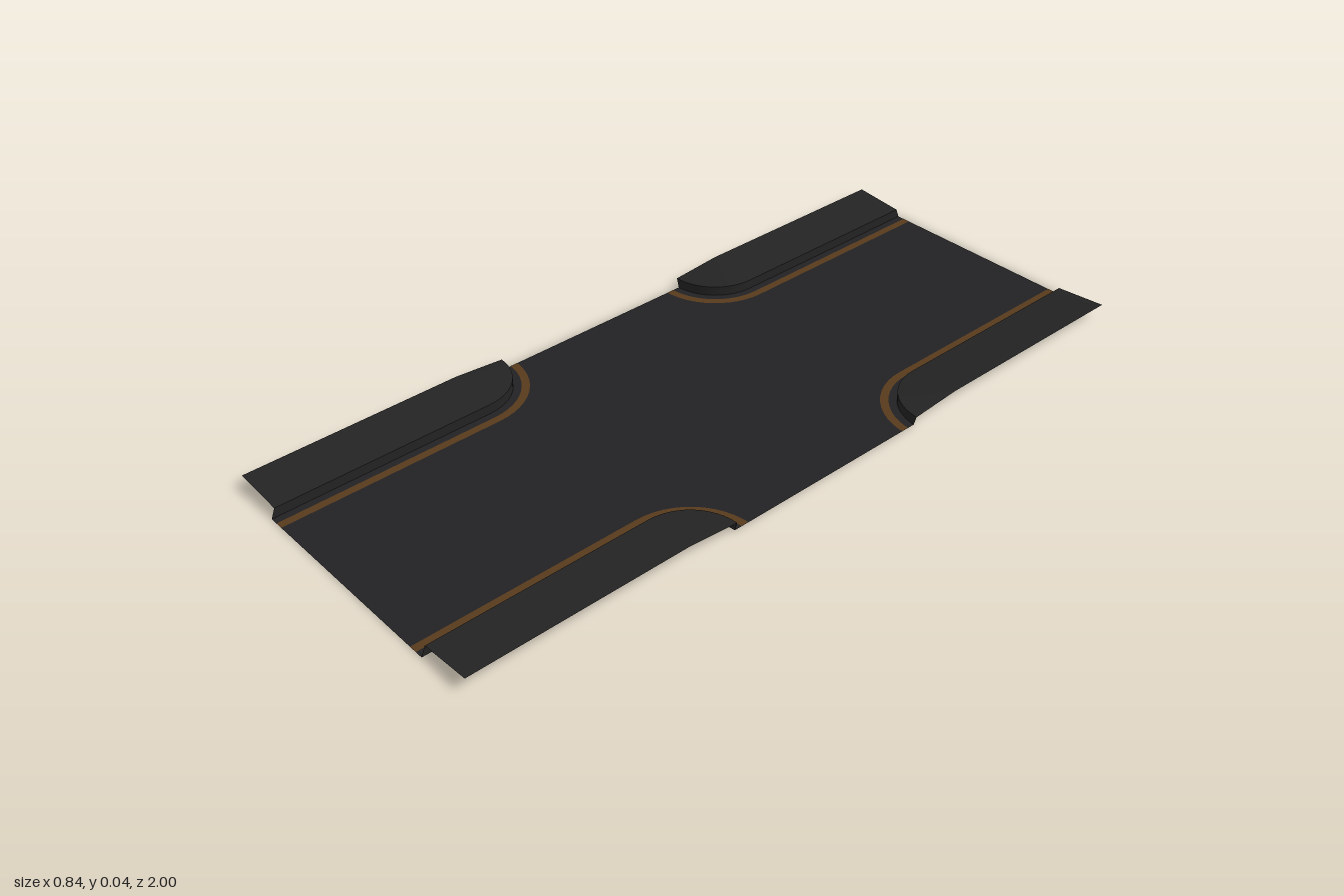
import * as THREE from 'three';

const CENTRE = 0.42;   // x and z of each corner's arc centre
const CURB_R = 0.135;  // curb distance from the arc centre
const ARC_STEPS = 12;

const material = (name, color, side = THREE.DoubleSide) => {
  const m = new THREE.MeshStandardMaterial({ color, side });
  m.name = name;
  return m;
};

// Line running in from the end of the road, then bending out around the corner.
function rail(radius, y, zEnd, xMax = CENTRE) {
  const points = [new THREE.Vector3(CENTRE - radius, y, zEnd)];
  for (let i = 0; i <= ARC_STEPS; i++) {
    const a = (i / ARC_STEPS) * Math.PI / 2;
    points.push(new THREE.Vector3(
      Math.min(CENTRE - radius * Math.cos(a), xMax), y, CENTRE - radius * Math.sin(a)));
  }
  return points;
}

// Surface between two rails with the same number of points.
function strip(a, b) {
  const index = [];
  for (let i = 0; i < a.length - 1; i++) {
    const p = 2 * i;
    index.push(p, p + 1, p + 2, p + 1, p + 3, p + 2);
  }
  const geometry = new THREE.BufferGeometry().setFromPoints(a.flatMap((p, i) => [p, b[i]]));
  geometry.setIndex(index);
  geometry.computeVertexNormals();
  return geometry;
}

export function createModel() {
  const asphalt = material('asphalt', 0x222224);
  const paving = material('paving', 0x232323);
  const paint = material('ochre paint', 0x573a1c);
  const model = new THREE.Group();
  model.name = 'roadCrossing';

  const add = (parent, name, geometry, mat) => {
    const mesh = new THREE.Mesh(geometry, mat);
    mesh.name = name;
    parent.add(mesh);
  };

  // Flat road, cut away around the four pavements
  const edge = rail(CURB_R, 0, 1, 0.413);
  const outline = [[1, 1], [1, -1], [-1, -1], [-1, 1]].flatMap(([sx, sz]) => {
    const side = edge.map(p => new THREE.Vector2(p.x * sx, p.z * sz));
    return sx * sz > 0 ? side : side.reverse();
  });
  const road = new THREE.ShapeGeometry(new THREE.Shape(outline));
  road.rotateX(-Math.PI / 2);
  add(model, 'road', road, asphalt);

  // Pavement corners: open shells that rise away from the curb
  const curbTop = rail(CURB_R, 0.025, 0.99);
  const curbGeometry = strip(edge, curbTop);
  const pavementGeometry = strip(curbTop, rail(0, 0.036, 0.99));
  const stripeGeometry = strip(
    rail(0.175, 0.0004, 1, 0.413), rail(0.155, 0.0004, 1, 0.413));

  for (const sx of [1, -1]) {
    for (const sz of [1, -1]) {
      const corner = new THREE.Group();
      corner.name = (sz > 0 ? 'front' : 'back') + (sx > 0 ? 'Left' : 'Right') + 'Corner';
      corner.scale.set(sx, 1, sz);
      add(corner, 'curb', curbGeometry, paving);
      add(corner, 'pavement', pavementGeometry, paving);
      add(corner, 'edgeStripe', stripeGeometry, paint);
      model.add(corner);
    }
  }
  return model;
}
